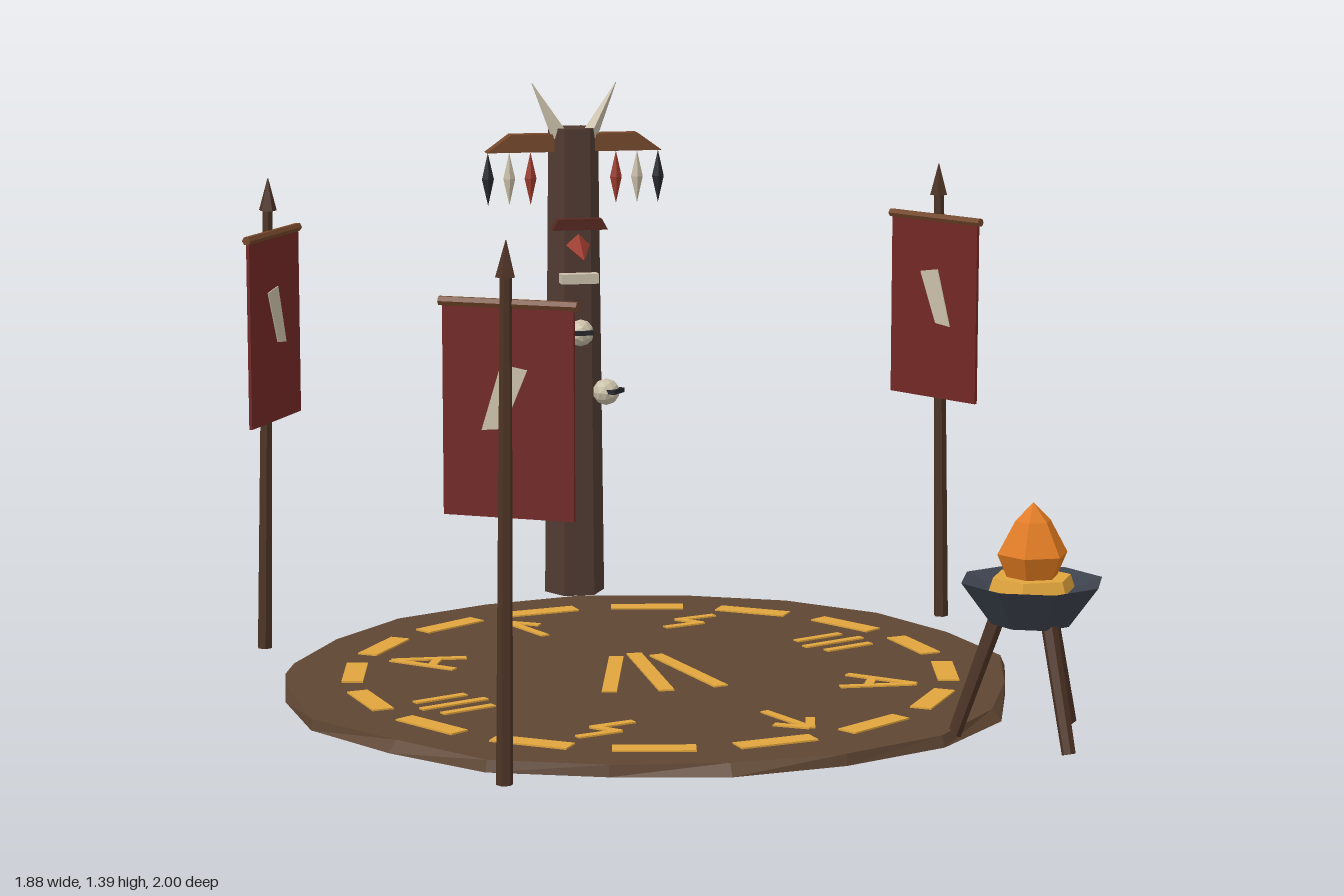
import * as THREE from 'three';

const mat = (color) => new THREE.MeshStandardMaterial({ color, flatShading: true, side: THREE.DoubleSide });
const M = {
  ground: mat(0x5f4633), gold: mat(0xdfa43c), pole: mat(0x4d3325), totem: mat(0x503a31),
  beam: mat(0x75482b), cloth: mat(0x712825), bone: mat(0xc9bfa8), red: mat(0x9c3a2c),
  dark: mat(0x26282d), iron: mat(0x3c424d), flame: mat(0xe07a1e), brow: mat(0x54291f),
};

function add(parent, name, geo, material, x = 0, y = 0, z = 0) {
  const m = new THREE.Mesh(geo, material);
  m.name = name;
  m.position.set(x, y, z);
  parent.add(m);
  return m;
}

function group(parent, name, x = 0, y = 0, z = 0, ry = 0) {
  const g = new THREE.Group();
  g.name = name;
  g.position.set(x, y, z);
  g.rotation.y = ry;
  parent.add(g);
  return g;
}

// Tapered rod between two points
function rod(parent, name, a, b, r0, r1, sides, material) {
  const p = new THREE.Vector3(...a), q = new THREE.Vector3(...b);
  const d = q.clone().sub(p);
  const m = add(parent, name, new THREE.CylinderGeometry(r1, r0, d.length(), sides), material);
  m.position.copy(p).add(q).multiplyScalar(0.5);
  m.quaternion.setFromUnitVectors(new THREE.Vector3(0, 1, 0), d.normalize());
  return m;
}

// Flat painted stroke from (u,v) to (u,v), v pointing away from the centre
function stroke(parent, name, u0, v0, u1, v1, w) {
  const len = Math.hypot(u1 - u0, v1 - v0);
  const m = add(parent, name, new THREE.BoxGeometry(len, 0.006, w), M.gold, (u0 + u1) / 2, 0, -(v0 + v1) / 2);
  m.rotation.y = Math.atan2(v1 - v0, u1 - u0);
}

function extrude(points, depth) {
  const shape = new THREE.Shape(points.map((p) => new THREE.Vector2(...p)));
  return new THREE.ExtrudeGeometry(shape, { depth, bevelEnabled: false }).translate(0, 0, -depth / 2);
}

// Uneven round floor
function buildFloor(root) {
  const cz = 0.055;
  const radii = [0.855, 0.877, 0.895, 0.877, 0.86, 0.89, 0.875, 0.885, 0.88, 0.87,
    0.885, 0.87, 0.88, 0.87, 0.883, 0.88, 0.905, 0.86, 0.89, 0.86];
  const geo = new THREE.CylinderGeometry(1, 1, 0.027, 20);
  const pos = geo.attributes.position;
  for (let i = 0; i < pos.count; i++) {
    const x = pos.getX(i), z = pos.getZ(i);
    if (Math.hypot(x, z) < 0.5) continue;
    const k = Math.round((Math.atan2(x, z) / (Math.PI * 2)) * 20 + 20) % 20;
    const r = radii[k] + (pos.getY(i) < 0 ? 0.012 * (1 + Math.cos(k * 2.2)) : 0);
    pos.setX(i, x * r);
    pos.setZ(i, z * r);
  }
  add(root, 'floor', geo, M.ground, 0, 0.0135, cz);

  // Ring of dashes
  const y = 0.028, spot = (name, a, r) =>
    group(root, name, Math.sin(a) * r, y, cz - Math.cos(a) * r, -a);
  for (let i = 0; i < 16; i++) {
    stroke(spot('ringDash', (i + 0.5) * Math.PI / 8, 0.72), 'dash', -0.095, 0, 0.095, 0, 0.052);
  }
  // Carved marks, repeated on opposite sides
  const marks = [
    [[0.05, 0.08, -0.037, 0.008], [-0.037, 0.015, 0.035, -0.015], [0.035, -0.008, -0.05, -0.08]],
    [[-0.063, -0.07, -0.063, 0.07], [0, -0.09, 0, 0.09], [0.063, -0.07, 0.063, 0.07]],
    [[-0.062, -0.085, 0, 0.09], [0.062, -0.085, 0, 0.09], [-0.045, -0.02, 0.045, -0.02]],
    [[0, -0.09, 0, 0.09], [0, 0.09, -0.052, 0.02], [0, 0.09, 0.052, 0.02]],
  ];
  for (let i = 0; i < 8; i++) {
    const g = spot('floorMark', (i + 0.5) * Math.PI / 4, 0.56);
    for (const s of marks[i % 4]) stroke(g, 'markStroke', ...s, 0.022);
  }
  // Three rays in the middle
  const centre = group(root, 'centreRays', 0, y, 0);
  stroke(centre, 'ray', 0, 0.14, 0, -0.245, 0.038);
  for (const s of [-1, 1]) stroke(centre, 'ray', s * 0.05, 0.115, s * 0.137, -0.23, 0.036);
}

function buildSkull(parent, x, y, z, ry) {
  const g = group(parent, 'skull', x, y, z, ry);
  add(g, 'cranium', new THREE.IcosahedronGeometry(0.036, 1), M.bone);
  add(g, 'eyeSlit', new THREE.BoxGeometry(0.058, 0.012, 0.03), M.dark, 0, 0.004, 0.025);
}

function buildTotem(root) {
  const g = group(root, 'totem', 0, 0, -0.93);
  const post = add(g, 'post', new THREE.CylinderGeometry(0.067, 0.081, 1.25, 6), M.totem, 0, 0.645, 0);
  post.rotation.y = Math.PI / 6;
  add(g, 'crossBeam', extrude([[-0.235, 1.208], [0.235, 1.208], [0.17, 1.255], [-0.17, 1.255]], 0.045), M.beam);
  for (const s of [-1, 1]) {
    rod(g, 'horn', [s * 0.04, 1.25, 0.012], [s * 0.113, 1.39, 0.012], 0.023, 0.001, 5, M.bone);
    // Hanging feathers
    [[0.115, M.red], [0.172, M.bone], [0.229, M.dark]].forEach(([x, m]) => {
      const f = add(g, 'feather', new THREE.OctahedronGeometry(1), m, s * x, 1.137, 0);
      f.scale.set(0.016, 0.07, 0.01);
    });
    buildSkull(g, s * 0.075, 0.57, 0.063, s * 0.9);
  }
  buildSkull(g, 0, 0.735, 0.095, 0);
  // Carved face
  add(g, 'brow', extrude([[-0.058, 1.037], [0.058, 1.037], [0.074, 1.008], [-0.074, 1.008]], 0.035), M.brow, 0, 0, 0.08);
  rod(g, 'nose', [0, 0.965, 0.06], [0, 0.935, 0.15], 0.032, 0.001, 4, M.red);
  add(g, 'teeth', new THREE.BoxGeometry(0.1, 0.026, 0.04), M.bone, 0, 0.878, 0.077);
}

// Banner whose outer side is its local +z
function buildBanner(root, x, z, ry) {
  const g = group(root, 'banner', x, 0, z, ry);
  rod(g, 'pole', [0, 0.015, 0.04], [0, 1.14, 0.012], 0.019, 0.013, 6, M.pole);
  rod(g, 'spearTip', [0, 1.125, 0.012], [0, 1.205, 0.01], 0.023, 0.001, 5, M.pole);
  const bar = add(g, 'crossBar', new THREE.CylinderGeometry(0.011, 0.011, 0.316, 6), M.beam, 0, 1.067, 0);
  bar.rotation.z = Math.PI / 2;
  add(g, 'cloth', new THREE.BoxGeometry(0.3, 0.465, 0.008), M.cloth, 0, 0.832, 0);
  add(g, 'clothMark', extrude([[-0.06, 0.79], [-0.01, 0.795], [0.045, 0.925], [-0.015, 0.935]], 0.014), M.bone);
}

function buildBrazier(root) {
  const g = group(root, 'brazier', 0.73, 0, 0.79);
  const profile = (pts) => pts.map((p) => new THREE.Vector2(...p));
  add(g, 'bowl', new THREE.LatheGeometry(
    profile([[0, 0.285], [0.095, 0.285], [0.167, 0.382], [0.11, 0.362], [0, 0.36]]), 8), M.iron);
  const turn = Math.PI / 6;
  add(g, 'embers', new THREE.CylinderGeometry(0.092, 0.102, 0.03, 6), M.gold, 0, 0.377, 0).rotation.y = turn;
  add(g, 'flame', new THREE.LatheGeometry(
    profile([[0, 0.37], [0.055, 0.38], [0.083, 0.445], [0.042, 0.52], [0, 0.562]]), 6), M.flame).rotation.y = turn;
  for (const [x, z] of [[-0.16, -0.06], [0.04, 0.165], [0.138, -0.123]]) {
    rod(g, 'leg', [x, 0.015, z], [x * 0.42, 0.31, z * 0.42], 0.016, 0.019, 6, M.pole);
  }
}

export function createModel() {
  const root = new THREE.Group();
  root.name = 'ritualCircle';
  buildFloor(root);
  buildTotem(root);
  buildBanner(root, 0.852, -0.434, Math.PI * 2 / 3);
  buildBanner(root, -0.852, -0.434, -Math.PI * 2 / 3);
  buildBanner(root, -0.492, 0.907, -Math.PI / 6);
  buildBrazier(root);
  return root;
}
